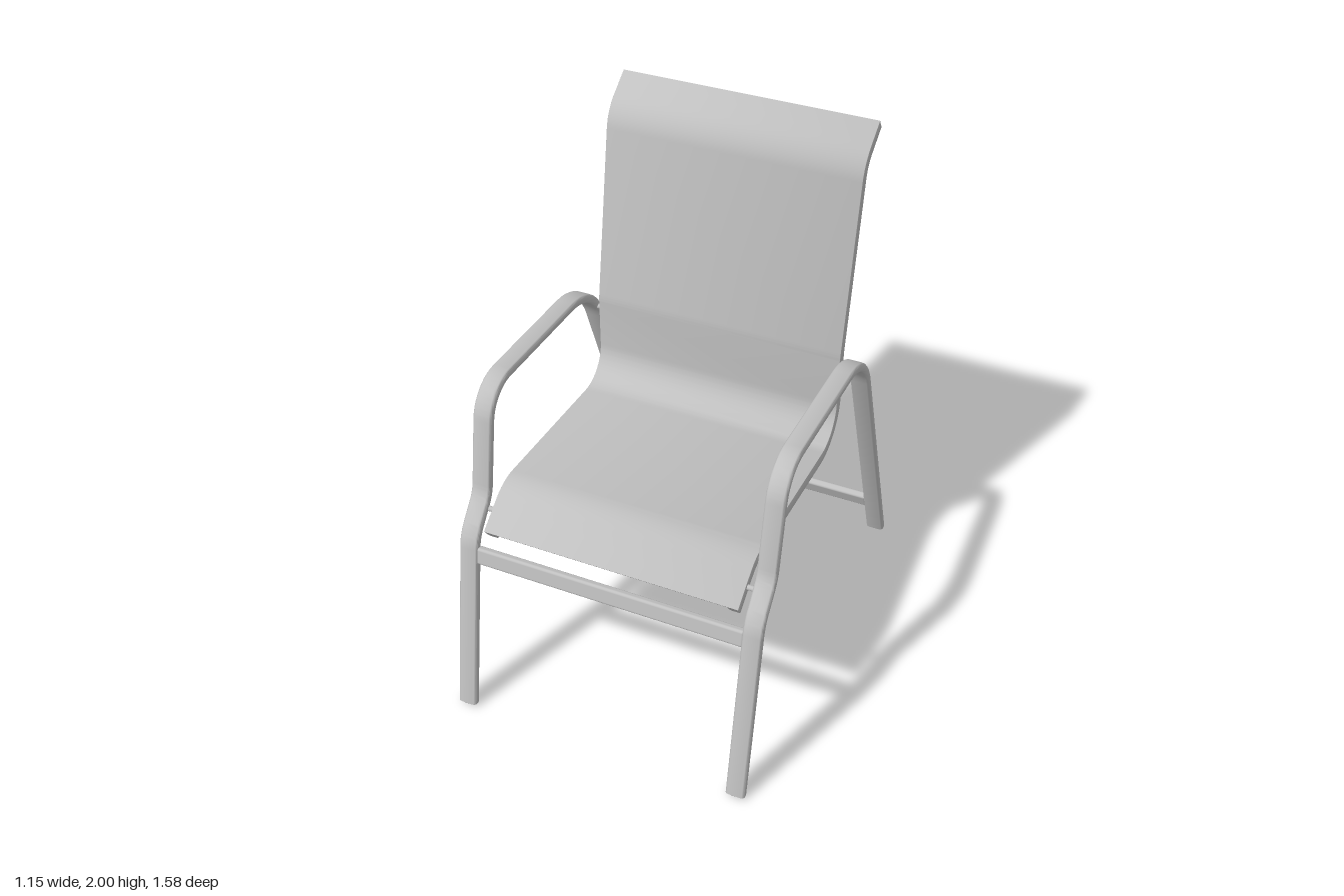
import * as THREE from 'three';
import { toCreasedNormals } from 'three/addons/utils/BufferGeometryUtils.js';
import { RoundedBoxGeometry } from 'three/addons/geometries/RoundedBoxGeometry.js';

// Side-plane path: corners are [z, y, radius]; returns samples {z, y, dz, dy}
function filletPath(corners, steps = 10) {
  const pts = corners.map(([z, y]) => new THREE.Vector2(z, y));
  const out = [];
  const add = (p, d) => out.push({ z: p.x, y: p.y, dz: d.x, dy: d.y });
  const dir = (i) => pts[i + 1].clone().sub(pts[i]).normalize();
  add(pts[0], dir(0));
  for (let i = 1; i < pts.length - 1; i++) {
    const d0 = dir(i - 1), d1 = dir(i), r = corners[i][2];
    const turn = Math.atan2(d0.cross(d1), d0.dot(d1));
    const start = pts[i].clone().addScaledVector(d0, -r * Math.tan(Math.abs(turn) / 2));
    const s = Math.sign(turn);
    const centre = start.clone().add(new THREE.Vector2(-d0.y, d0.x).multiplyScalar(s * r));
    for (let k = 0; k <= steps; k++) {
      const a = (turn * k) / steps;
      const p = start.clone().rotateAround(centre, a);
      add(p, d0.clone().rotateAround(new THREE.Vector2(), a));
    }
  }
  add(pts[pts.length - 1], dir(pts.length - 2));
  return out;
}

// Rounded rectangle section, counter-clockwise, u across and v along the normal
function section(w, h, r, offset = 0) {
  const pts = [];
  [[1, 1], [-1, 1], [-1, -1], [1, -1]].forEach(([sx, sy], q) => {
    for (let k = 0; k <= 4; k++) {
      const a = (q + k / 4) * Math.PI / 2;
      pts.push([sx * (w / 2 - r) + r * Math.cos(a), sy * (h / 2 - r) + r * Math.sin(a) + offset]);
    }
  });
  return pts;
}

// Sweep a section along a path, closing both ends with an optional bevel
function sweep(path, sec, bevel = 0) {
  const pos = [], idx = [], n = sec.length;
  const rings = path.map((p) => ({ ...p, k: 0 }));
  if (bevel) {
    const a = path[0], b = path[path.length - 1];
    rings.unshift({ ...a, z: a.z - a.dz * bevel, y: a.y - a.dy * bevel, k: bevel });
    rings.push({ ...b, z: b.z + b.dz * bevel, y: b.y + b.dy * bevel, k: bevel });
  }
  for (const p of rings) {
    for (const [u0, v0] of sec) {
      const u = u0 - Math.sign(u0) * p.k, v = v0 - Math.sign(v0) * p.k;
      pos.push(u, p.y - p.dz * v, p.z + p.dy * v);
    }
  }
  for (let i = 0; i < rings.length - 1; i++) {
    for (let j = 0; j < n; j++) {
      const a = i * n + j, b = i * n + (j + 1) % n;
      idx.push(a, a + n, b + n, a, b + n, b);
    }
  }
  const last = (rings.length - 1) * n;
  for (let j = 1; j < n - 1; j++) {
    idx.push(0, j, j + 1, last, last + j + 1, last + j);
  }
  const g = new THREE.BufferGeometry();
  g.setAttribute('position', new THREE.Float32BufferAttribute(pos, 3));
  g.setIndex(idx);
  return toCreasedNormals(g, 0.6);
}

export function createModel() {
  const group = new THREE.Group();
  const grey = new THREE.MeshStandardMaterial({ color: 0xc0c0c0 });
  grey.name = 'light grey';

  const add = (name, geometry, x = 0, y = 0, z = 0, tilt = 0) => {
    const mesh = new THREE.Mesh(geometry, grey);
    mesh.name = name;
    mesh.position.set(x, y, z);
    mesh.rotation.x = tilt;
    group.add(mesh);
    return mesh;
  };
  // Round bar running across the chair
  const rod = (r, length) => new THREE.CylinderGeometry(r, r, length, 20).rotateZ(Math.PI / 2);

  // Front leg, arm and rear leg bent from one tube
  const framePath = filletPath([
    [0.774, 0.012], [0.648, 0.735, 0.16], [0.543, 0.855, 0.14],
    [0.468, 1.262, 0.14], [-0.302, 1.222, 0.27], [-0.774, 0.012],
  ]);
  // Seat and back rail bent from one tube
  const railPath = filletPath([
    [0.635, 0.757], [0.485, 0.866, 0.15], [-0.317, 0.806, 0.155],
    [-0.318, 1.18, 0.2], [-0.437, 1.89, 0.13], [-0.566, 1.979],
  ]);
  const frame = sweep(framePath, section(0.072, 0.036, 0.013), 0.007);
  const rail = sweep(railPath, section(0.04, 0.052, 0.012));

  for (const [side, s] of [['left', 1], ['right', -1]]) {
    add(side + 'LegAndArm', frame, s * 0.539);
    add(side + 'SeatRail', rail, s * 0.459);
    // Pins joining the rail to the leg frame
    add(side + 'BackPin', rod(0.01, 0.06), s * 0.49, 1.115, -0.33);
    add(side + 'FrontPin', rod(0.01, 0.06), s * 0.49, 0.81, 0.565);
  }

  // Fabric stretched over the front of the rails
  add('sling', sweep(railPath, section(0.96, 0.006, 0.002, 0.025)));

  // Flat stretchers between the legs
  add('frontStretcher', new RoundedBoxGeometry(1.02, 0.067, 0.03, 3, 0.01), 0, 0.666, 0.657, -0.18);
  add('rearStretcher', new RoundedBoxGeometry(1.02, 0.068, 0.03, 3, 0.01), 0, 0.198, -0.704, 0.37);

  // Spreader bars hidden behind the fabric
  add('lowerSpreader', rod(0.014, 0.9), 0, 0.846, -0.278);
  add('upperSpreader', rod(0.014, 0.9), 0, 1.948, -0.53);

  return group;
}
